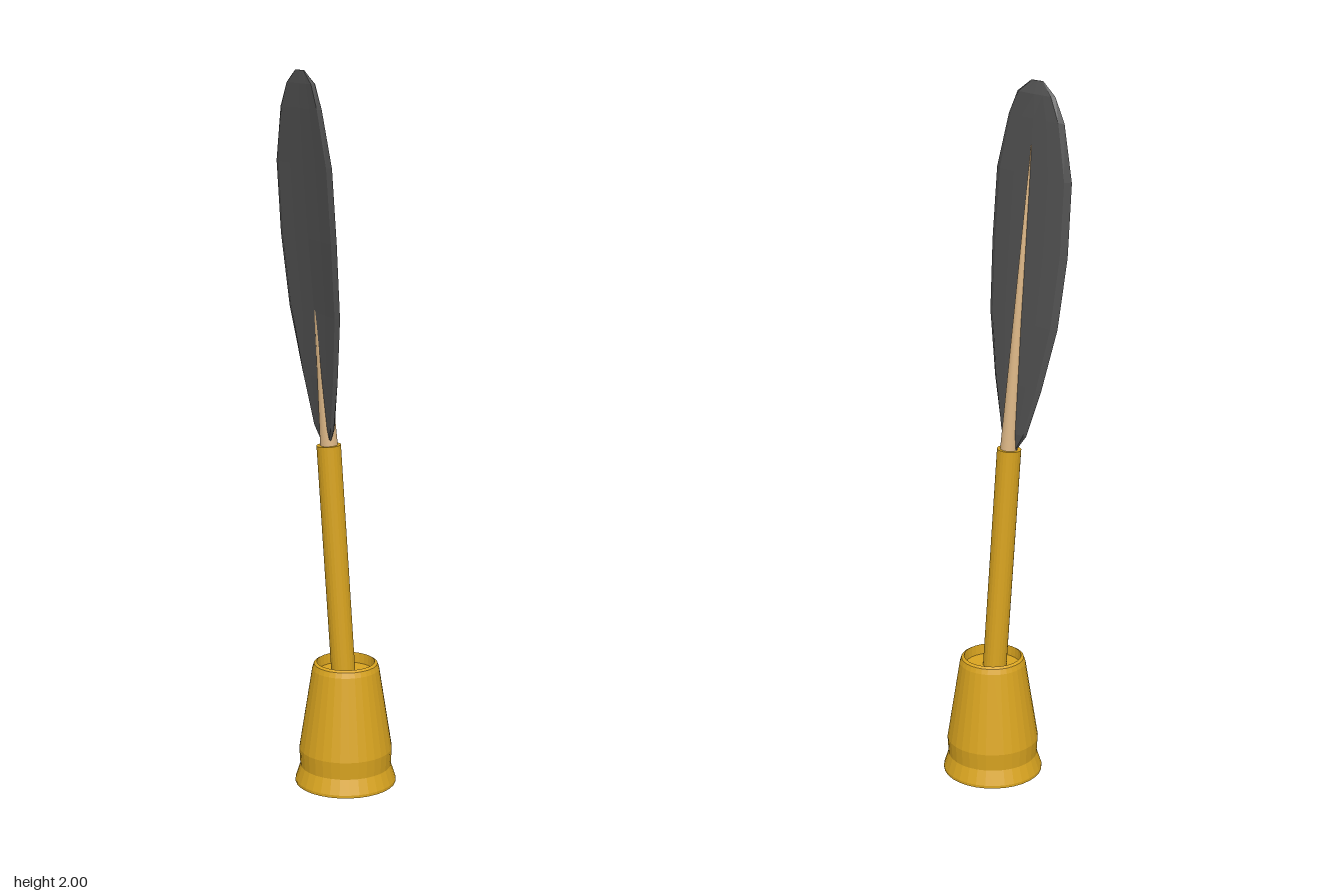
import * as THREE from 'three';

const gold = new THREE.MeshStandardMaterial({ color: 0xdaa520 });
gold.name = 'gold';
gold.flatShading = true;
const horn = new THREE.MeshStandardMaterial({ color: 0xdeb887 });
horn.name = 'horn';
const charcoal = new THREE.MeshStandardMaterial({ color: 0x555555 });
charcoal.name = 'charcoal';
charcoal.flatShading = true;

// Tapered rod between two points
function rod(name, a, b, rBottom, rTop, sides, material) {
  const from = new THREE.Vector3(...a), to = new THREE.Vector3(...b);
  const axis = to.clone().sub(from);
  const mesh = new THREE.Mesh(new THREE.CylinderGeometry(rTop, rBottom, axis.length(), sides), material);
  mesh.position.copy(from).add(to).multiplyScalar(0.5);
  mesh.quaternion.setFromUnitVectors(new THREE.Vector3(0, 1, 0), axis.normalize());
  mesh.name = name;
  return mesh;
}

// Twisted feather blade lofted from closed, bevelled cross-sections
function vaneGeometry() {
  // y, left x, right x, left z, middle z, right z, half thickness
  const rows = [
    [0.98, -0.015, 0.02, 0.038, 0.040, 0.042, 0.002],
    [1.03, -0.055, 0.052, 0.035, 0.042, 0.052, 0.007],
    [1.17, -0.107, 0.092, 0.037, 0.050, 0.070, 0.008],
    [1.35, -0.157, 0.127, 0.044, 0.059, 0.089, 0.008],
    [1.55, -0.182, 0.132, 0.054, 0.071, 0.104, 0.008],
    [1.75, -0.184, 0.122, 0.066, 0.083, 0.112, 0.008],
    [1.90, -0.145, 0.080, 0.080, 0.092, 0.113, 0.008],
    [1.965, -0.105, 0.045, 0.089, 0.096, 0.109, 0.007],
    [2.00, -0.055, -0.010, 0.098, 0.100, 0.102, 0.001],
  ];
  const across = [-1, -0.86, -0.45, 0, 0.45, 0.86, 1];
  const ring = [...across.map(u => [u, 1]), ...across.slice(1, -1).reverse().map(u => [u, -1])];
  const n = ring.length, positions = [], index = [];
  for (const [y, xl, xr, zl, zc, zr, h] of rows) {
    for (const [u, side] of ring) {
      const x = xl + (xr - xl) * (u + 1) / 2;
      const z = zc + (zr - zl) / 2 * u + ((zr + zl) / 2 - zc) * u * u;
      positions.push(x, y, z + side * (Math.abs(u) === 1 ? 0 : h));
    }
  }
  for (let r = 0; r < rows.length - 1; r++) {
    for (let i = 0; i < n; i++) {
      const a = r * n + i, b = r * n + (i + 1) % n;
      index.push(a, b, b + n, a, b + n, a + n);
    }
  }
  // End caps
  const last = (rows.length - 1) * n;
  for (let i = 1; i < n - 1; i++) {
    index.push(0, i + 1, i, last, last + i, last + i + 1);
  }
  const geometry = new THREE.BufferGeometry();
  geometry.setAttribute('position', new THREE.Float32BufferAttribute(positions, 3));
  geometry.setIndex(index);
  geometry.computeVertexNormals();
  return geometry;
}

export function createModel() {
  const group = new THREE.Group();
  group.name = 'quillPen';

  // Flared weighted base with a recessed top
  const profile = [
    [0, 0], [0.143, 0], [0.143, 0.008], [0.129, 0.05], [0.132, 0.1],
    [0.095, 0.335], [0.09, 0.35], [0.082, 0.355], [0.08, 0.325], [0, 0.325],
  ].map(([r, y]) => new THREE.Vector2(r, y));
  const base = new THREE.Mesh(new THREE.LatheGeometry(profile, 32), gold);
  base.position.x = 0.04;
  base.name = 'base';
  group.add(base);

  // Leaning holder and the feather shaft running out of it
  group.add(rod('holder', [0.038, 0.3, 0.005], [0.009, 0.98, 0.036], 0.034, 0.034, 24, gold));
  group.add(rod('featherShaft', [0.01, 0.96, 0.034], [-0.03, 1.83, 0.079], 0.025, 0.001, 24, horn));

  // Feather blade
  const vane = new THREE.Mesh(vaneGeometry(), charcoal);
  vane.name = 'featherVane';
  group.add(vane);

  return group;
}
